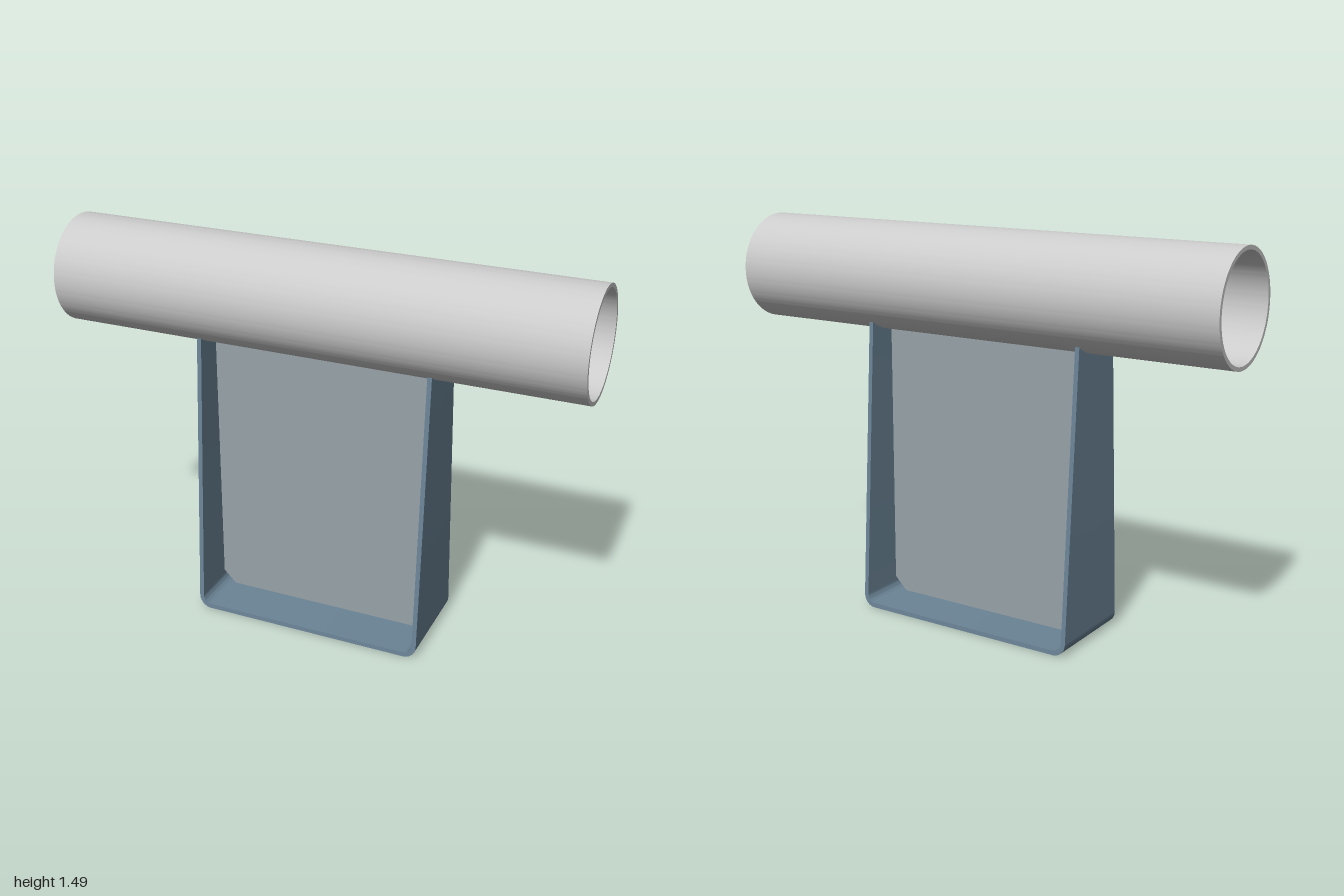
import * as THREE from 'three';
import { toCreasedNormals } from 'three/addons/utils/BufferGeometryUtils.js';

const PIPE_Y = 1.285, PIPE_R = 0.205, PIPE_INNER = 0.19;
const HALF_W = 0.455, T = 0.017, BEND = 0.05;
const TOP_Y = 1.12, BASE_Z = 0.19, TOP_Z = 0.12;

function part(name, geometry, color) {
  const mesh = new THREE.Mesh(
    toCreasedNormals(geometry, 0.5),
    new THREE.MeshStandardMaterial({ color })
  );
  mesh.name = name;
  return mesh;
}

// Hollow tube lying along x
function pipeGeometry() {
  const ring = new THREE.Shape().absarc(0, 0, PIPE_R, 0, Math.PI * 2);
  ring.holes.push(new THREE.Path().absarc(0, 0, PIPE_INNER, 0, Math.PI * 2, true));
  return new THREE.ExtrudeGeometry(ring, { depth: 2, bevelEnabled: false, curveSegments: 72 })
    .translate(0, 0, -1)
    .rotateY(Math.PI / 2)
    .translate(0, PIPE_Y, 0);
}

// Bent U strip, narrowing upwards, with its ends coped to fit under the pipe
function bracketGeometry() {
  const inner = HALF_W - T, c = HALF_W - BEND, r = BEND - T;
  const u = new THREE.Shape();
  u.moveTo(-HALF_W, TOP_Y);
  u.lineTo(-HALF_W, BEND);
  u.absarc(-c, BEND, BEND, Math.PI, Math.PI * 1.5);
  u.lineTo(c, 0);
  u.absarc(c, BEND, BEND, Math.PI * 1.5, Math.PI * 2);
  u.lineTo(HALF_W, TOP_Y);
  u.lineTo(inner, TOP_Y);
  u.lineTo(inner, BEND);
  u.absarc(c, BEND, r, 0, -Math.PI / 2, true);
  u.lineTo(-c, T);
  u.absarc(-c, BEND, r, Math.PI * 1.5, Math.PI, true);
  u.lineTo(-inner, TOP_Y);
  u.closePath();

  const geometry = new THREE.ExtrudeGeometry(u, {
    depth: 2, steps: 24, bevelEnabled: false, curveSegments: 10
  }).translate(0, 0, -1);
  const p = geometry.attributes.position;
  for (let i = 0; i < p.count; i++) {
    const y = p.getY(i);
    const z = p.getZ(i) * THREE.MathUtils.lerp(BASE_Z, TOP_Z, y / TOP_Y);
    p.setZ(i, z);
    if (y > TOP_Y - 1e-4) p.setY(i, PIPE_Y - Math.sqrt(PIPE_R ** 2 - z ** 2));
  }
  return geometry;
}

// Upright centre plate with clipped lower corners
function webGeometry() {
  const x = HALF_W - T, top = PIPE_Y - PIPE_R + 0.002, clip = 0.05;
  const s = new THREE.Shape();
  s.moveTo(-x + clip, T);
  s.lineTo(x - clip, T);
  s.lineTo(x, T + clip);
  s.lineTo(x, top);
  s.lineTo(-x, top);
  s.lineTo(-x, T + clip);
  s.closePath();
  return new THREE.ExtrudeGeometry(s, { depth: T, bevelEnabled: false }).translate(0, 0, -T / 2);
}

export function createModel() {
  const model = new THREE.Group();
  model.name = 'pipeSupport';
  model.add(
    part('pipe', pipeGeometry(), 0xcccccc),
    part('bracket', bracketGeometry(), 0x6b8496),
    part('webPlate', webGeometry(), 0x98a3a8)
  );
  return model;
}
